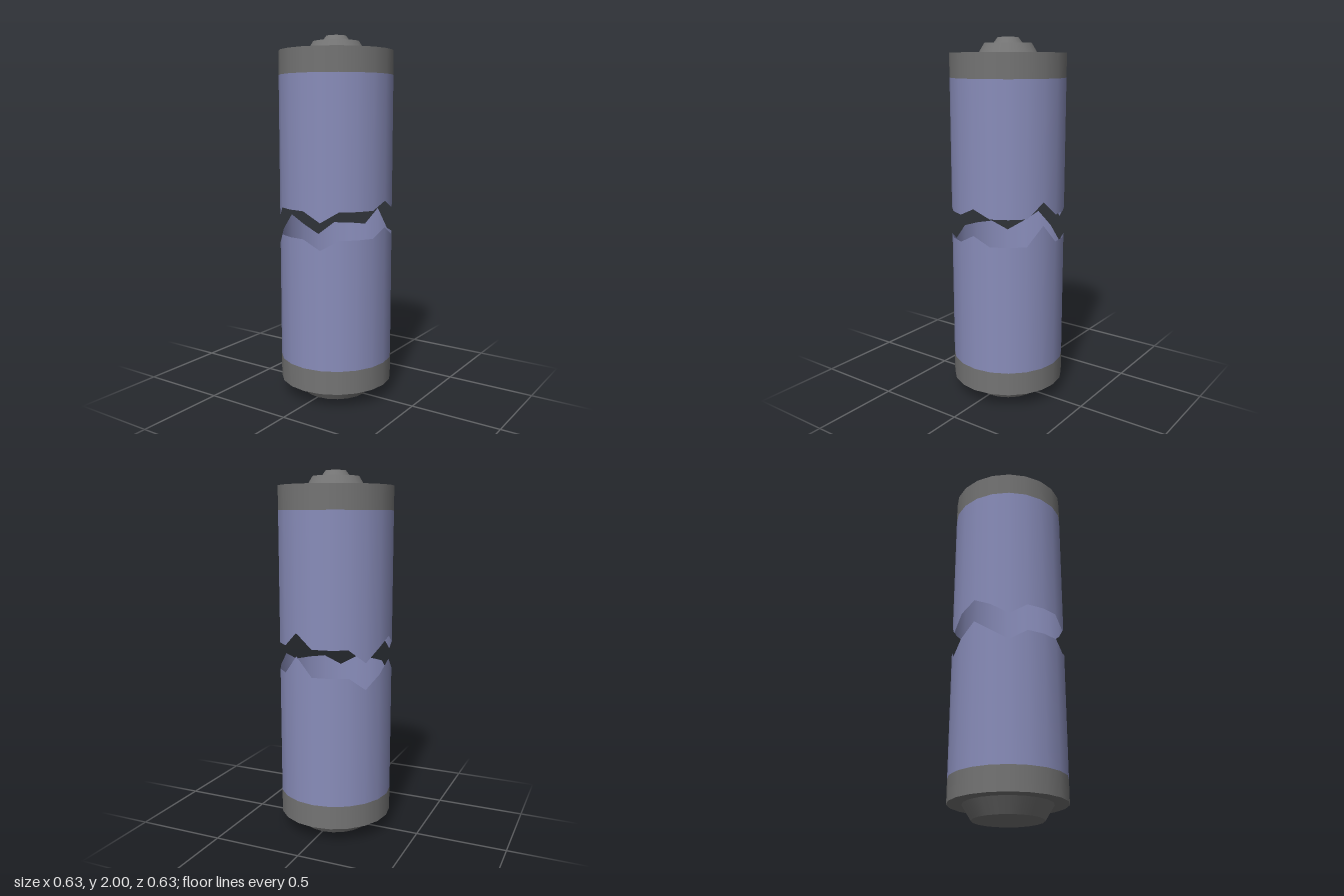
import * as THREE from 'three';

const R = 0.315, SIDES = 20;

export function createModel() {
  const model = new THREE.Group();
  model.name = 'splitCanister';

  const grey = new THREE.MeshStandardMaterial({ color: 0x747474 });
  grey.name = 'darkGrey';
  const blue = new THREE.MeshStandardMaterial({ color: 0x898dba, side: THREE.DoubleSide });
  blue.name = 'dustyBlue';

  const add = (name, geometry, material) => {
    const mesh = new THREE.Mesh(geometry, material);
    mesh.name = name;
    model.add(mesh);
  };

  // Closed, tapered disc between two heights
  const disc = (name, y0, y1, r0, r1) => {
    const g = new THREE.CylinderGeometry(r1, r0, y1 - y0, SIDES);
    g.translate(0, (y0 + y1) / 2, 0);
    add(name, g, grey);
  };

  // Open tube whose broken rim is raised or lowered at some corners.
  // Corners count round from the front (+z) towards +x.
  const brokenTube = (name, yEnd, yRim, teeth) => {
    const low = Math.min(yEnd, yRim), high = Math.max(yEnd, yRim);
    const g = new THREE.CylinderGeometry(R, R, high - low, SIDES, 1, true);
    g.translate(0, (low + high) / 2, 0);
    const p = g.attributes.position;
    for (let i = 0; i < p.count; i++) {
      if (Math.abs(p.getY(i) - yRim) < 1e-4) {
        p.setY(i, yRim + (teeth[i % (SIDES + 1) % SIDES] ?? 0));
      }
    }
    add(name, g, blue);
  };

  // Lower half
  disc('bottomContact', 0, 0.08, 0.188, 0.238);
  disc('bottomCap', 0.08, 0.21, R, R);
  brokenTube('lowerBody', 0.21, 0.925,
    { 1: -0.055, 5: 0.05, 9: 0.105, 13: -0.07, 15: 0.07, 17: -0.06 });

  // Upper half
  brokenTube('upperBody', 1.79, 1.075,
    { 1: -0.058, 5: 0.045, 9: 0.08, 13: -0.075, 15: 0.047, 17: -0.06 });
  disc('topCap', 1.79, 1.92, R, R);
  disc('topContactBase', 1.92, 1.97, 0.157, 0.127);
  disc('topContactTip', 1.97, 2, 0.078, 0.055);

  return model;
}
